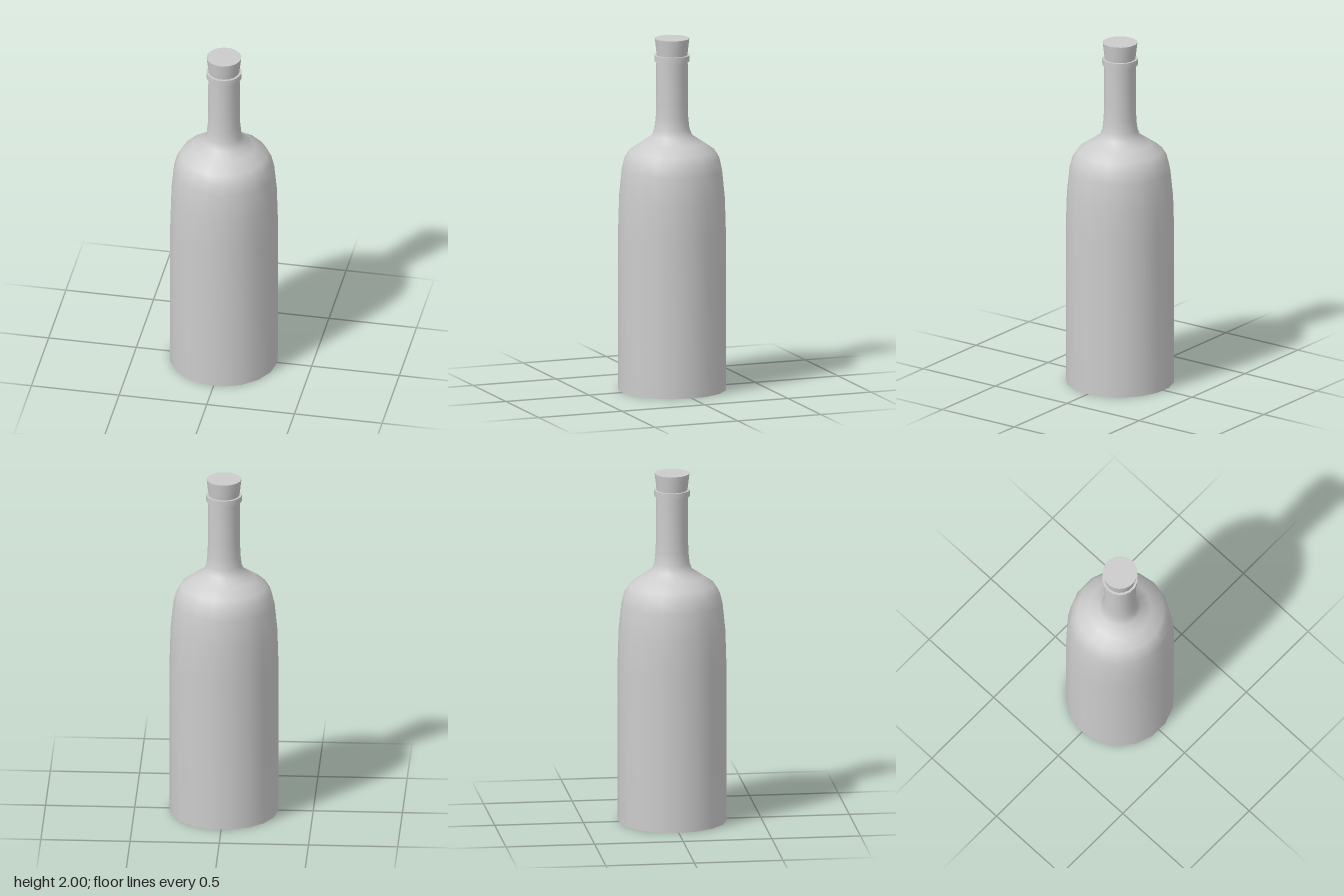
import * as THREE from 'three';
import { toCreasedNormals } from 'three/addons/utils/BufferGeometryUtils.js';

const SIDES = 18;

export function createModel() {
  const group = new THREE.Group();
  const material = new THREE.MeshStandardMaterial({ color: 0xcccccc });

  // Every part is turned so a corner of its 18 sides lies on the x axis
  const add = (name, geometry) => {
    geometry.rotateY(Math.PI / 2);
    const mesh = new THREE.Mesh(toCreasedNormals(geometry, 0.75), material);
    mesh.name = name;
    group.add(mesh);
  };
  const lathe = (points) =>
    new THREE.LatheGeometry(points.map(([r, y]) => new THREE.Vector2(r, y)), SIDES);

  // Glass body: straight wall, rounded shoulder, narrow neck
  add('bottleBody', lathe([
    [0.305, 0], [0.305, 0.9], [0.299, 1.1], [0.284, 1.25], [0.268, 1.315],
    [0.24, 1.36], [0.175, 1.405], [0.115, 1.445], [0.099, 1.485],
    [0.092, 1.55], [0.09, 1.63], [0.089, 1.88],
  ]));

  // Flat base, facing down
  const base = new THREE.CircleGeometry(0.305, SIDES);
  base.rotateX(Math.PI / 2);
  base.rotateY(Math.PI / 2);
  add('bottleBase', base);

  // Raised lip around the mouth
  const lip = new THREE.CylinderGeometry(0.1, 0.1, 0.035, SIDES);
  lip.translate(0, 1.8875, 0);
  add('neckLip', lip);

  // Tapered stopper, wider at the top
  const stopper = new THREE.CylinderGeometry(0.098, 0.085, 0.11, SIDES);
  stopper.translate(0, 1.945, 0);
  add('stopper', stopper);

  return group;
}
